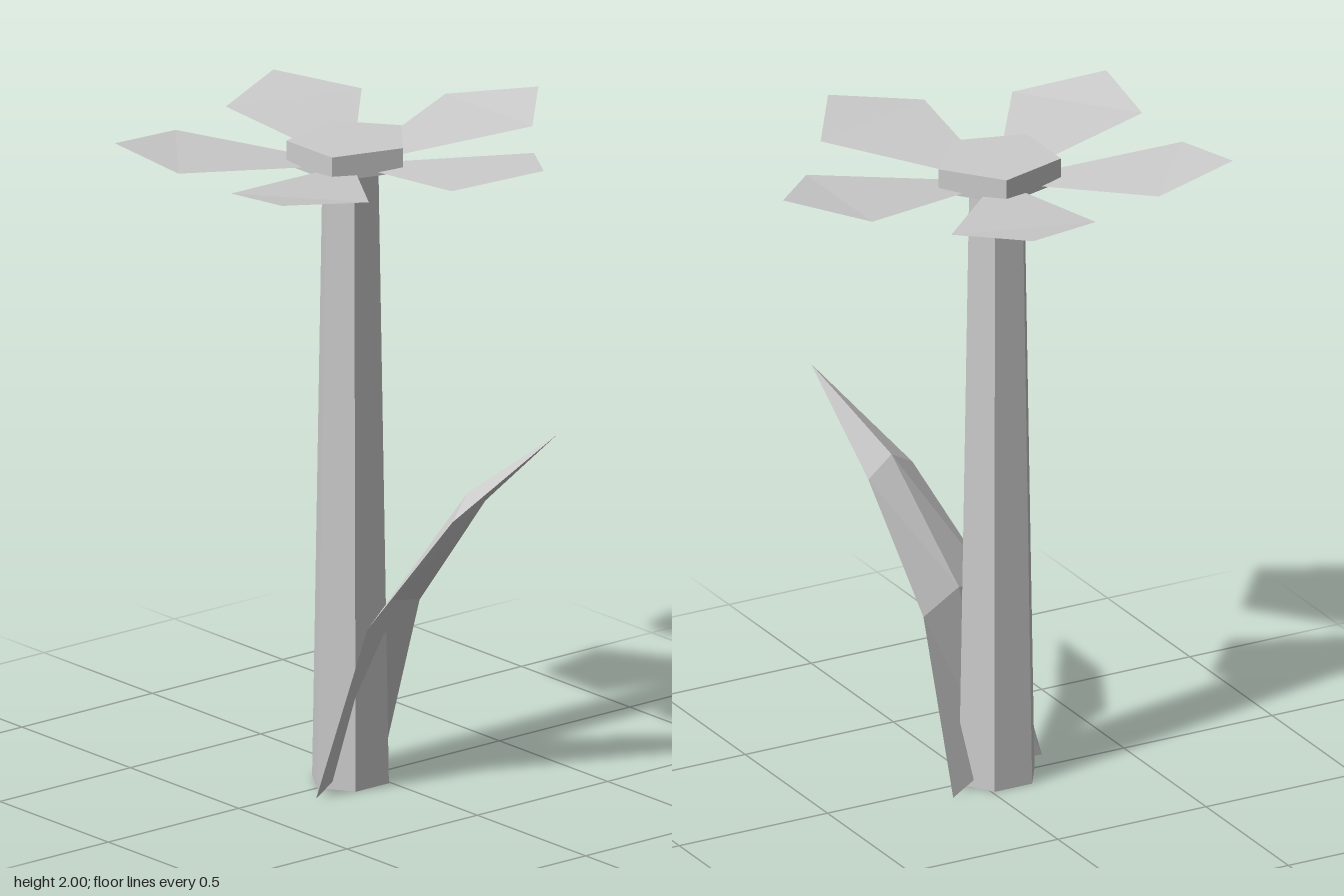
import * as THREE from 'three';

// Thin surface from points and triangles, facets kept sharp
function facets(points, triangles) {
  const g = new THREE.BufferGeometry();
  g.setAttribute('position', new THREE.Float32BufferAttribute(points.flat(), 3));
  g.setIndex(triangles.flat());
  const flat = g.toNonIndexed();
  flat.computeVertexNormals();
  return flat;
}

export function createModel() {
  const grey = new THREE.MeshStandardMaterial({ color: 0xcccccc, flatShading: true, side: THREE.DoubleSide });
  grey.name = 'light grey';

  const model = new THREE.Group();
  model.name = 'flower';

  const add = (parent, geometry, name) => {
    const mesh = new THREE.Mesh(geometry, grey);
    mesh.name = name;
    parent.add(mesh);
    return mesh;
  };

  // Stem and bloom share an axis and are slightly squashed front to back
  const plant = new THREE.Group();
  plant.name = 'stemAndBloom';
  plant.position.x = -0.071;
  plant.scale.z = 0.91;
  model.add(plant);

  // Tapered six-sided stem
  const stem = new THREE.CylinderGeometry(0.0925, 0.1275, 1.93, 6, 1, false, Math.PI / 2);
  add(plant, stem, 'stem').position.y = 0.965;

  // Five-sided flower centre
  const hub = new THREE.CylinderGeometry(0.196, 0.196, 0.075, 5, 1, false, Math.PI / 2);
  add(plant, hub, 'flowerCentre').position.y = 1.9525;

  // Five petals, each with a fold across its widest line
  const petal = facets(
    [[0.1, 1.92, 0.046], [0.1, 1.92, -0.046], [0.531, 1.967, 0.22], [0.531, 1.967, -0.22], [0.721, 2, 0]],
    [[0, 2, 1], [1, 2, 3], [2, 4, 3]]
  );
  for (let i = 0; i < 5; i++) {
    add(plant, petal, 'petal' + (i + 1)).rotation.y = (i * Math.PI * 2) / 5;
  }

  // Leaf: rows of left edge, midrib, right edge, ending in a tip
  const rows = [
    [[-0.265, 0, 0.075], [-0.07, 0.05, 0], [0.12, 0, -0.08]],
    [[-0.16, 0.53, 0.185], [-0.01, 0.575, 0.12], [0.14, 0.53, 0.065]],
    [[0, 0.88, 0.385], [0.095, 0.94, 0.34], [0.19, 0.89, 0.31]]
  ];
  const triangles = [];
  for (let r = 0; r < 2; r++) {
    for (let c = 0; c < 2; c++) {
      const a = r * 3 + c;
      triangles.push([a, a + 1, a + 4], [a, a + 4, a + 3]);
    }
  }
  triangles.push([6, 7, 9], [7, 8, 9]);
  add(model, facets([...rows.flat(), [0.223, 1.16, 0.6]], triangles), 'leaf');

  return model;
}
